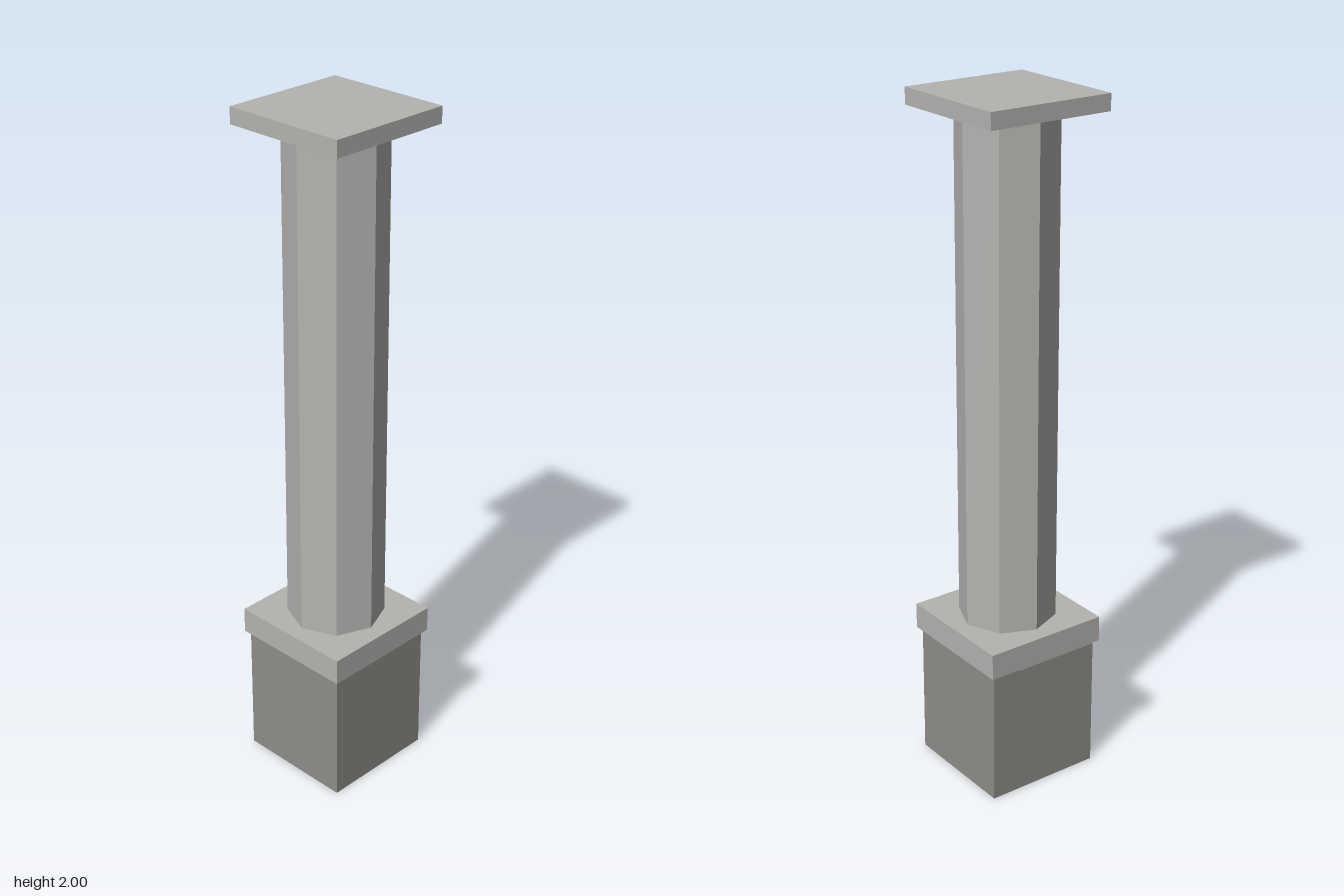
import * as THREE from 'three';

const lightStone = new THREE.MeshStandardMaterial({ color: 0xb4b3b0, flatShading: true });
lightStone.name = 'lightStone';
const darkStone = new THREE.MeshStandardMaterial({ color: 0x8e8d88, flatShading: true, side: THREE.DoubleSide });
darkStone.name = 'darkStone';

const SLAB_WIDTH = 0.381;
const BASE_WIDTH = 0.356;

export function createModel() {
  const model = new THREE.Group();
  model.name = 'column';

  // Adds a part that spans from one height to another
  function addPart(name, geometry, material, bottom, top) {
    const mesh = new THREE.Mesh(geometry, material);
    mesh.name = name;
    mesh.position.y = (bottom + top) / 2;
    model.add(mesh);
  }

  // Square slab
  function addSlab(name, bottom, top) {
    addPart(name, new THREE.BoxGeometry(SLAB_WIDTH, top - bottom, SLAB_WIDTH), lightStone, bottom, top);
  }

  // Hollow square base, open underneath
  const baseTop = 0.393;
  const baseRadius = BASE_WIDTH / Math.SQRT2;
  const base = new THREE.CylinderGeometry(baseRadius, baseRadius, baseTop, 4, 1, true);
  base.rotateY(Math.PI / 4);
  addPart('base', base, darkStone, 0, baseTop);

  // Lower slab, floating just above the base
  addSlab('plinth', 0.405, 0.482);

  // Eight-sided shaft with a corner facing the front
  addPart('shaft', new THREE.CylinderGeometry(0.142, 0.142, 1.471, 8), lightStone, 0.482, 1.953);

  // Top slab
  addSlab('capital', 1.953, 2);

  return model;
}
